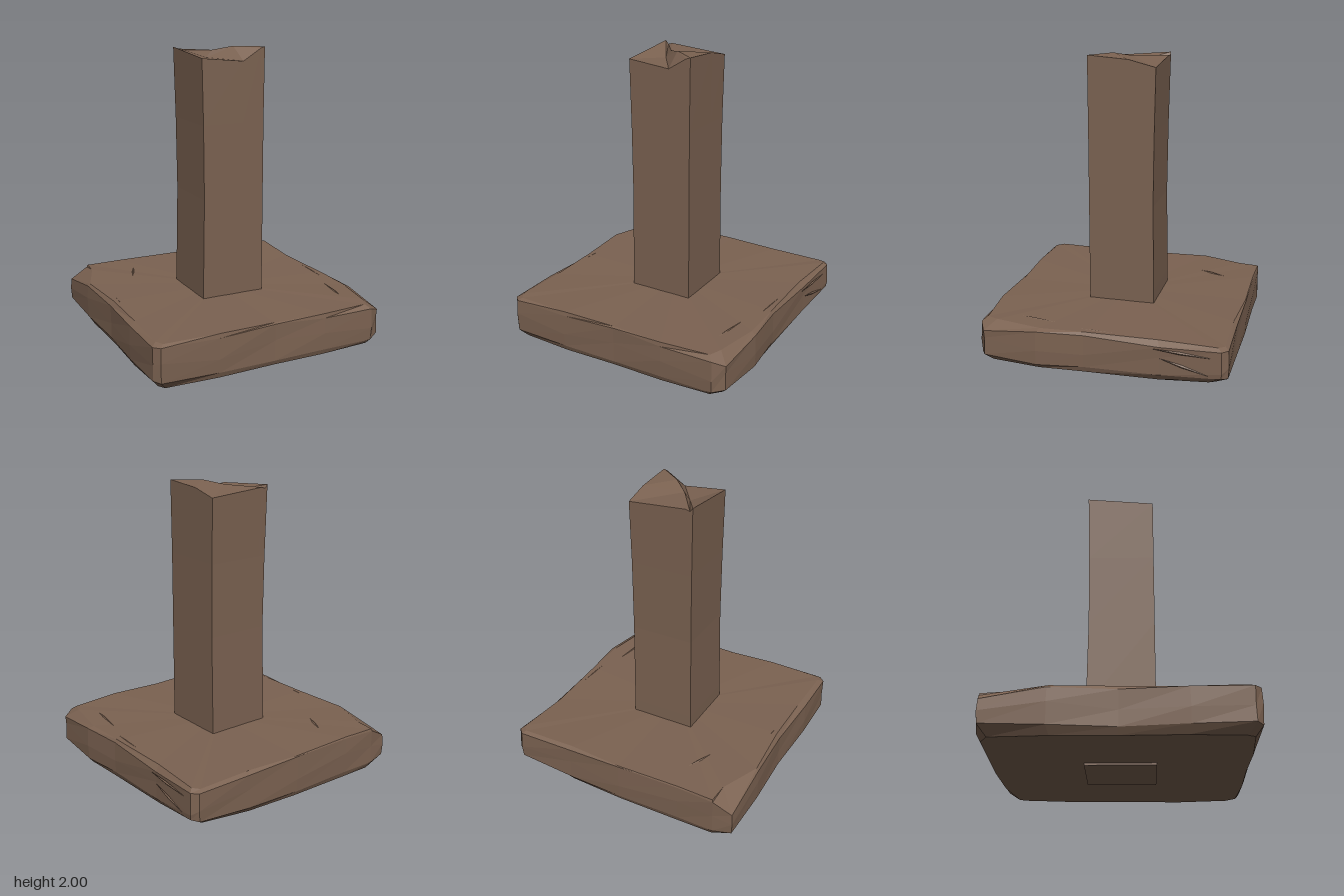
import * as THREE from 'three';

// Flat-shaded mesh from a list of triangles, each three [x, y, z] corners
function facetMesh(name, tris, material) {
  const g = new THREE.BufferGeometry();
  g.setAttribute('position', new THREE.Float32BufferAttribute(tris.flat(2), 3));
  g.computeVertexNormals();
  const mesh = new THREE.Mesh(g, material);
  mesh.name = name;
  return mesh;
}

// Walls between stacked rings, listed from bottom to top, counter-clockwise from above
function loft(rings) {
  const tris = [];
  for (let k = 0; k < rings.length - 1; k++) {
    const lo = rings[k], hi = rings[k + 1], n = lo.length;
    for (let i = 0; i < n; i++) {
      const j = (i + 1) % n;
      tris.push([lo[i], lo[j], hi[j]], [lo[i], hi[j], hi[i]]);
    }
  }
  return tris;
}

// Fan closing a ring around a centre point
function cap(ring, centre, up) {
  return ring.map((p, i) => {
    const q = ring[(i + 1) % ring.length];
    return up ? [p, q, centre] : [q, p, centre];
  });
}

// Rough-hewn slab with worn, chamfered edges
function buildSlab(material) {
  // x, z, top inset, height of upper edge, bottom inset, height of lower edge
  const outline = [
    [-0.84, 0.80, 0.04, 0.29, 0.06, 0.07],
    [-0.80, 0.84, 0.03, 0.29, 0.05, 0.06],
    [-0.40, 0.835, 0.01, 0.28, 0.02, 0.05],
    [0.00, 0.83, 0.02, 0.30, 0.02, 0.05],
    [0.37, 0.84, 0.01, 0.28, 0.02, 0.06],
    [0.74, 0.835, 0.04, 0.28, 0.03, 0.06],
    [0.82, 0.79, 0.08, 0.25, 0.05, 0.08],
    [0.84, 0.42, 0.04, 0.29, 0.03, 0.06],
    [0.815, 0.10, 0.02, 0.29, 0.02, 0.07],
    [0.82, -0.40, 0.04, 0.27, 0.04, 0.08],
    [0.84, -0.80, 0.03, 0.29, 0.10, 0.11],
    [0.80, -0.84, 0.03, 0.29, 0.09, 0.10],
    [0.40, -0.835, 0.03, 0.29, 0.03, 0.06],
    [0.00, -0.84, 0.01, 0.30, 0.02, 0.05],
    [-0.45, -0.835, 0.01, 0.30, 0.02, 0.05],
    [-0.71, -0.84, 0.01, 0.29, 0.03, 0.05],
    [-0.84, -0.82, 0.13, 0.22, 0.06, 0.07],
    [-0.84, -0.42, 0.02, 0.29, 0.04, 0.06],
    [-0.82, 0.00, 0.03, 0.28, 0.03, 0.05],
    [-0.84, 0.42, 0.05, 0.29, 0.04, 0.06],
  ];
  const shrink = (x, z, inset, y) => [x * (1 - inset / 0.84), y, z * (1 - inset / 0.84)];
  const under = x => 0.018 + x * 0.016;
  const rings = [
    outline.map(([x, z, , , b]) => shrink(x, z, b, under(x))),
    outline.map(([x, z, , , , low]) => shrink(x, z, 0.005, low)),
    outline.map(([x, z], i) => shrink(x, z, i % 3 ? 0 : 0.008, 0.17 + 0.03 * Math.sin(i * 2.3))),
    outline.map(([x, z, , high]) => shrink(x, z, 0.005, high)),
    outline.map(([x, z, t], i) => shrink(x, z, t, 0.31 - 0.004 * (i % 2))),
  ];
  return facetMesh('slab', [
    ...loft(rings),
    ...cap(rings[0], [0, 0.018, 0], false),
    ...cap(rings[4], [0, 0.31, 0], true),
  ], material);
}

// Square post with slightly waisted sides and a split, broken top
function buildPost(material) {
  const rim = [
    [-0.23, 1.94, 0.23], [0.07, 1.91, 0.23], [0.2, 1.99, 0.23],
    [0.23, 2.0, 0.23], [0.23, 1.98, -0.05], [0.23, 1.935, -0.23],
    [-0.18, 1.965, -0.23], [-0.21, 1.955, -0.23], [-0.23, 1.98, -0.23],
  ];
  // The back and right faces are waisted more than the other two
  const level = (y, squeeze) => rim.map(([x, , z]) => [
    x * (x < 0 ? 1 - squeeze : 0.98), y, z * (z < 0 ? 1 - squeeze : 1),
  ]);
  const rings = [level(0, 0), level(0.4, 0.02), level(1.0, 0.06), level(1.5, 0.04), rim];
  const [a, b, c, d, e, f, g, h, i] = rim;
  const p = [-0.09, 1.92, 0], q = [-0.05, 1.97, 0], r = [0.06, 2.0, 0.1];
  const top = [
    [i, a, p], [a, b, p], [i, p, h],            // lower side of the split
    [h, p, q], [h, q, g], [p, b, r], [p, r, q], [b, c, r], // face of the split
    [r, c, d], [r, d, e], [q, r, e], [q, e, f], [g, q, f], // upper side
  ];
  return facetMesh('post', [...loft(rings), ...cap(rings[0], [0, 0, 0], false), ...top], material);
}

// Thin raised splinter between two points; out is the direction it stands off
function buildSplinter(from, to, out, width, material) {
  const A = new THREE.Vector3(...from), B = new THREE.Vector3(...to), N = new THREE.Vector3(...out);
  const side = B.clone().sub(A).cross(N).normalize().multiplyScalar(width / 2);
  const mid = A.clone().lerp(B, 0.45);
  const peak = mid.clone().addScaledVector(N, 0.008).toArray();
  const l = mid.clone().sub(side).toArray(), m = mid.clone().add(side).toArray();
  return facetMesh('splinter', [[from, m, peak], [m, to, peak], [to, l, peak], [l, from, peak]], material);
}

export function createModel() {
  const group = new THREE.Group();
  group.name = 'woodenPostOnSlab';
  const wood = new THREE.MeshStandardMaterial({ color: 0x7b6251, flatShading: true });
  wood.name = 'brownWood';
  group.add(buildSlab(wood), buildPost(wood));

  // Splinters along the grain of the top and the rough side
  const up = [0, 1, 0], right = [1, 0, 0];
  const splinters = [
    [[-0.5, 0.307, -0.4], [-0.4, 0.307, -0.64], up],
    [[-0.78, 0.303, 0.3], [-0.73, 0.303, -0.35], up],
    [[0.64, 0.306, 0.65], [0.69, 0.306, 0.3], up],
    [[0.74, 0.304, 0.35], [0.77, 0.304, -0.3], up],
    [[0.824, 0.2, -0.4], [0.834, 0.12, -0.72], right],
    [[0.824, 0.26, -0.35], [0.832, 0.24, -0.75], right],
  ];
  for (const [from, to, out] of splinters) group.add(buildSplinter(from, to, out, 0.02, wood));
  return group;
}
